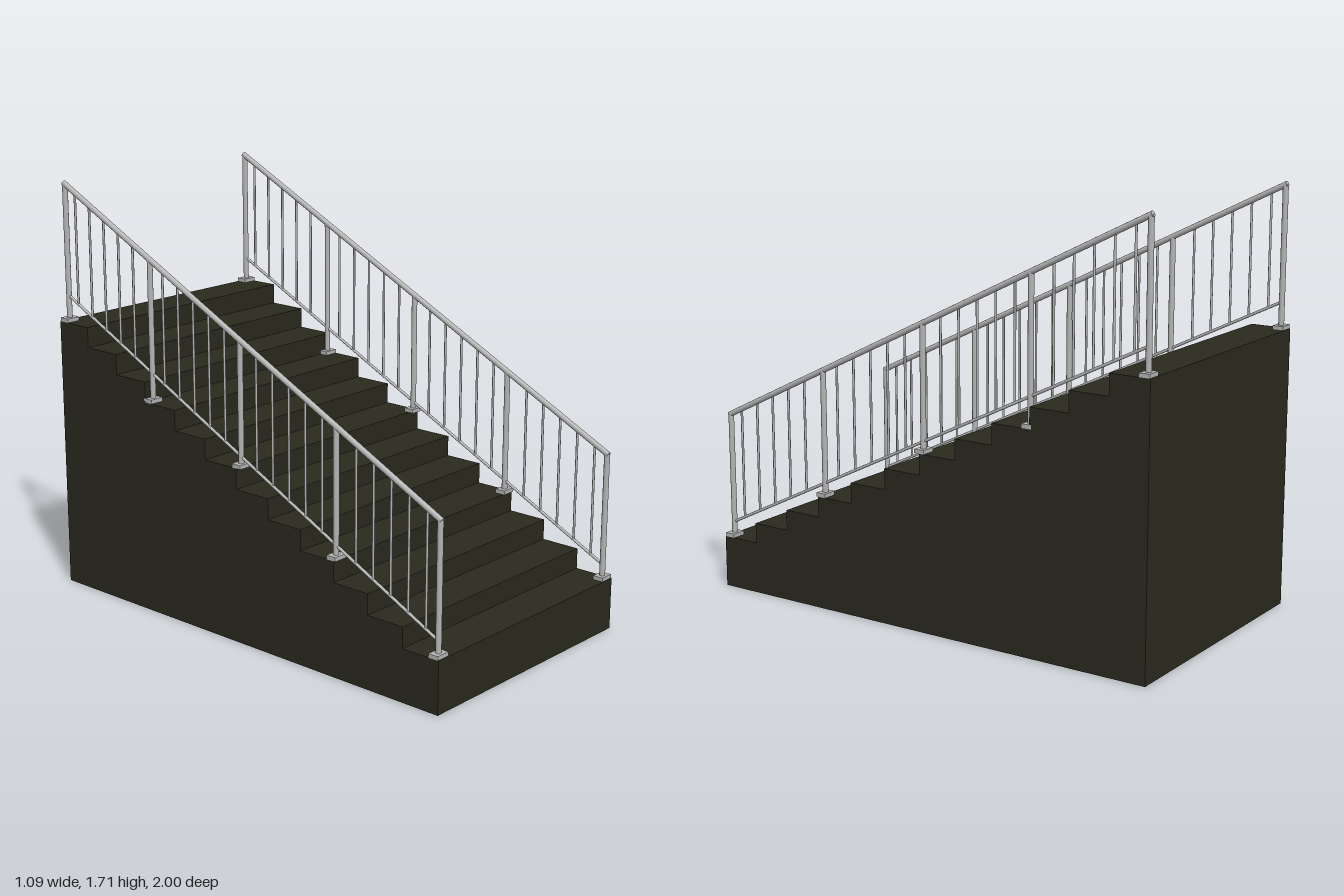
import * as THREE from 'three';

const STEPS = 12, RUN = 2 / STEPS, FIRST = 0.212, RISE = 0.0835;
const HALF_WIDTH = 0.545, RAIL_X = 0.515, SLOPE = -0.495;
const topRailY = (z) => 1.212 + SLOPE * z;
const lowRailY = (z) => 0.755 + SLOPE * z;
const treadY = (z) => FIRST + RISE * Math.min(STEPS - 1, Math.floor((1 - z) / RUN + 1e-6));

export function createModel() {
  const stone = new THREE.MeshStandardMaterial({ color: 0x2a291e });
  stone.name = 'dark stone';
  const metal = new THREE.MeshStandardMaterial({ color: 0xb4b4b4 });
  metal.name = 'light grey metal';
  const model = new THREE.Group();
  model.name = 'staircase';

  // Solid flight: stepped side profile extruded across the width
  const profile = new THREE.Shape();
  profile.moveTo(-1, 0);
  for (let i = 0; i < STEPS; i++) {
    profile.lineTo(-1 + i * RUN, FIRST + i * RISE);
    profile.lineTo(-1 + (i + 1) * RUN, FIRST + i * RISE);
  }
  profile.lineTo(1, 0);
  profile.closePath();
  const flightGeometry = new THREE.ExtrudeGeometry(profile, { depth: HALF_WIDTH * 2, bevelEnabled: false });
  flightGeometry.translate(0, 0, -HALF_WIDTH).rotateY(Math.PI / 2);
  const flight = new THREE.Mesh(flightGeometry, stone);
  flight.name = 'steps';
  model.add(flight);

  // Round bar between two (y, z) points in the railing plane
  const bar = (name, y0, z0, y1, z1, radius, sides = 12) => {
    const from = new THREE.Vector3(0, y0, z0), to = new THREE.Vector3(0, y1, z1);
    const dir = to.clone().sub(from);
    const mesh = new THREE.Mesh(new THREE.CylinderGeometry(radius, radius, dir.length(), sides), metal);
    mesh.name = name;
    mesh.position.copy(from).add(to).multiplyScalar(0.5);
    mesh.quaternion.setFromUnitVectors(new THREE.Vector3(0, 1, 0), dir.normalize());
    return mesh;
  };

  for (const side of [1, -1]) {
    const railing = new THREE.Group();
    railing.name = side > 0 ? 'leftRailing' : 'rightRailing';
    railing.position.x = side * RAIL_X;

    // Sloping rails
    railing.add(bar('handrail', topRailY(0.982), 0.982, topRailY(-0.982), -0.982, 0.0115));
    railing.add(bar('lowerRail', lowRailY(0.975), 0.975, lowRailY(-0.975), -0.975, 0.006));

    // Posts on base plates
    for (const z of [0.975, 0.486, 0, -0.486, -0.975]) {
      const y = treadY(z);
      railing.add(bar('post', y, z, topRailY(z), z, 0.0115));
      const plate = new THREE.Mesh(new THREE.BoxGeometry(0.06, 0.016, 0.044), metal);
      plate.name = 'basePlate';
      plate.position.set(0, y + 0.008, z);
      railing.add(plate);
    }

    // Thin balusters, leaving out the places taken by posts
    for (let i = 1; i < 24; i++) {
      if (i % 6 === 0) continue;
      const z = 1 - i * RUN / 2;
      railing.add(bar('baluster', lowRailY(z), z, topRailY(z), z, 0.005, 8));
    }
    model.add(railing);
  }
  return model;
}
